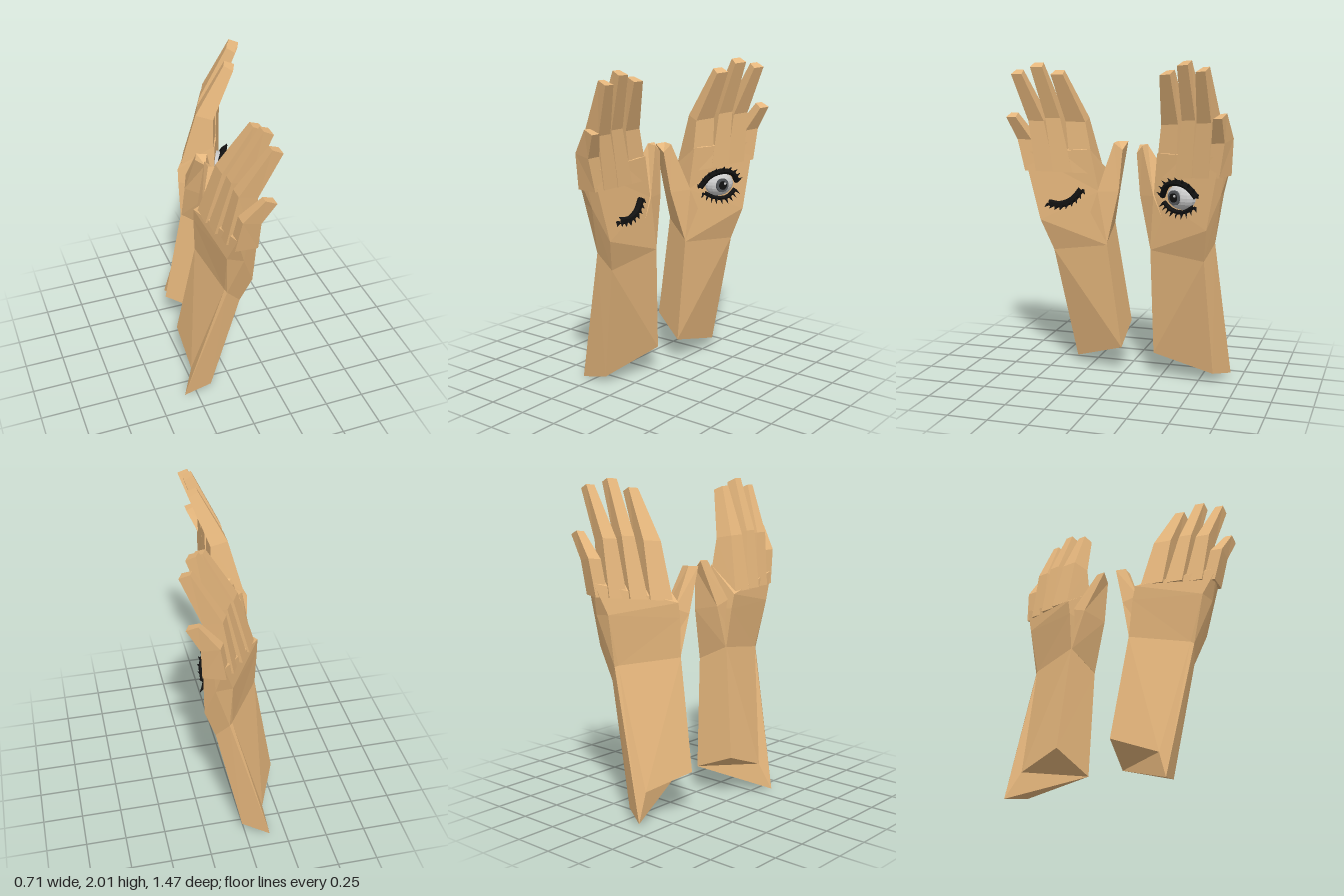
import * as THREE from 'three';

const material = (color) => new THREE.MeshStandardMaterial({ color, flatShading: true });
const skin = material(0xe5b67c);
const black = material(0x111111);
const white = material(0xcccccc);
const grey = material(0x55585c);

function part(name, geometry, mat) {
  const mesh = new THREE.Mesh(geometry, mat);
  mesh.name = name;
  return mesh;
}

// Faceted solid through rings of equal corner count, closed at both ends
function loft(rings) {
  const pos = [];
  const n = rings[0].length;
  const tri = (...pts) => pts.forEach((p) => pos.push(...p));
  for (let k = 0; k < rings.length - 1; k++) {
    const a = rings[k], b = rings[k + 1];
    for (let i = 0; i < n; i++) {
      const j = (i + 1) % n;
      tri(a[i], b[i], b[j]);
      tri(a[i], b[j], a[j]);
    }
  }
  const first = rings[0], last = rings[rings.length - 1];
  for (let i = 1; i < n - 1; i++) {
    tri(first[0], first[i], first[i + 1]);
    tri(last[0], last[i + 1], last[i]);
  }
  const g = new THREE.BufferGeometry();
  g.setAttribute('position', new THREE.Float32BufferAttribute(pos, 3));
  g.computeVertexNormals();
  return g;
}

// Four-cornered finger section: height, thumb-side z, outer z, palm x, back x, rise of the back
const section = ([y, z0, z1, palm, back, rise]) => [
  [palm, y, z0], [palm, y, z1], [back, y + rise, z1 - 0.01], [back, y + rise, z0 + 0.01],
];

function createHand() {
  const hand = new THREE.Group();

  // Forearm and palm: thumb-side palm, outer palm, outer edge, outer back, thumb-side back
  hand.add(part('forearmAndPalm', loft([
    [[0, 0.17, 0.01], [-0.15, 0.04, 0.36], [-0.33, 0, 0.365], [-0.267, 0.17, 0.31], [-0.267, 0.28, 0.02]],
    [[0.05, 0.85, 0.09], [0, 0.79, 0.465], [-0.09, 0.89, 0.49], [-0.1, 0.9, 0.47], [-0.16, 0.96, 0.1]],
    [[0.045, 1.19, 0.145], [0.05, 0.99, 0.537], [-0.03, 1.19, 0.6], [-0.12, 1.2, 0.56], [-0.175, 1.2, 0.13]],
    [[0.05, 1.45, 0.2], [0.03, 1.42, 0.655], [-0.03, 1.45, 0.67], [-0.09, 1.38, 0.65], [-0.18, 1.29, 0.15]],
  ]), skin));

  // Fingers: root, middle joint, tip
  const fingers = {
    indexFinger: [[1.3, 0.17, 0.33, 0.045, -0.165, 0], [1.62, 0.235, 0.365, 0.035, -0.075, 0.02], [1.915, 0.34, 0.42, 0.145, 0.085, 0.025]],
    middleFinger: [[1.3, 0.32, 0.45, 0.045, -0.15, 0], [1.64, 0.4, 0.5, 0.04, -0.07, 0.02], [1.96, 0.475, 0.555, 0.145, 0.09, 0.025]],
    ringFinger: [[1.3, 0.44, 0.57, 0.04, -0.125, 0], [1.62, 0.51, 0.615, 0.04, -0.07, 0.02], [1.915, 0.61, 0.68, 0.15, 0.09, 0.025]],
    littleFinger: [[1.3, 0.55, 0.645, 0.035, -0.1, 0], [1.5, 0.6, 0.695, 0.03, -0.075, 0.02], [1.645, 0.675, 0.74, 0.1, 0.035, 0.025]],
  };
  for (const [name, rows] of Object.entries(fingers)) {
    hand.add(part(name, loft(rows.map(section)), skin));
  }

  // Thumb, growing out of the wrist
  hand.add(part('thumb', loft([
    [[0.05, 0.86, 0.09], [0.04, 0.92, 0.25], [-0.14, 0.98, 0.2], [-0.155, 0.96, 0.1]],
    [[0.03, 1.19, 0.02], [0.055, 1.19, 0.15], [-0.13, 1.25, 0.15], [-0.125, 1.22, 0.05]],
    [[0.01, 1.45, 0], [0.015, 1.495, 0.055], [-0.05, 1.5, 0.045], [-0.05, 1.5, -0.02]],
  ]), skin));
  return hand;
}

// Lash band along a curve with pointed lashes leaning outward
function createLashes(name, points, radius, count, length, direction) {
  const group = new THREE.Group();
  group.name = name;
  const curve = new THREE.CatmullRomCurve3(points.map((p) => new THREE.Vector3(...p)));
  group.add(part('lashBand', new THREE.TubeGeometry(curve, 14, radius, 6), black));
  const up = new THREE.Vector3(0, 1, 0);
  for (let i = 0; i < count; i++) {
    const t = i / (count - 1);
    const p = curve.getPoint(t);
    const dir = new THREE.Vector3((t - 0.5) * 1.6, direction, 0.45).normalize();
    const lash = part('lash', new THREE.ConeGeometry(radius * 0.75, length, 4), black);
    lash.quaternion.setFromUnitVectors(up, dir);
    lash.position.copy(p).addScaledVector(dir, radius * 0.5 + length / 2);
    group.add(lash);
  }
  return group;
}

function createOpenEye() {
  const eye = new THREE.Group();
  eye.name = 'openEye';
  const ball = part('eyeball', new THREE.SphereGeometry(1, 16, 12), white);
  ball.scale.set(0.105, 0.08, 0.075);
  eye.add(ball);

  // Iris, pupil and glint as thin discs facing outward
  const discs = [['iris', 0.045, 0, 0, 0.071, grey], ['pupil', 0.028, 0, 0, 0.076, black], ['glint', 0.008, 0.012, 0.012, 0.081, white]];
  for (const [name, r, x, y, z, mat] of discs) {
    const disc = part(name, new THREE.CylinderGeometry(r, r, 0.012, 14), mat);
    disc.rotation.x = Math.PI / 2;
    disc.position.set(x - 0.01, y, z);
    eye.add(disc);
  }
  eye.add(createLashes('upperLashes',
    [[-0.145, -0.01, 0.02], [-0.09, 0.062, 0.045], [0, 0.088, 0.055], [0.08, 0.066, 0.05], [0.125, 0.01, 0.03]], 0.019, 9, 0.035, 0.6));
  eye.add(createLashes('lowerLashes',
    [[-0.12, -0.045, 0.03], [-0.05, -0.08, 0.045], [0.04, -0.085, 0.045], [0.11, -0.045, 0.03]], 0.014, 9, 0.04, -0.8));
  return eye;
}

export function createModel() {
  const model = new THREE.Group();
  model.name = 'pairOfHands';

  const frontHand = createHand();
  frontHand.name = 'frontHand';
  model.add(frontHand);

  // Mirrored hand, turned toward the front
  const backHand = createHand();
  backHand.name = 'backHand';
  backHand.scale.z = -1;
  backHand.rotation.set(0.096, -0.436, 0.025);
  backHand.position.set(0, -0.015, -0.21);
  model.add(backHand);

  const openEye = createOpenEye();
  openEye.position.set(0.16, 1.2, -0.425);
  openEye.rotation.y = 1.13;
  model.add(openEye);

  const closedEye = createLashes('closedEye',
    [[-0.11, -0.03, 0.01], [-0.03, -0.035, 0.02], [0.05, 0, 0.02], [0.105, 0.065, 0.01]], 0.021, 9, 0.035, -0.8);
  closedEye.position.set(0.05, 1.135, 0.36);
  closedEye.rotation.y = Math.PI / 2;
  model.add(closedEye);

  return model;
}
